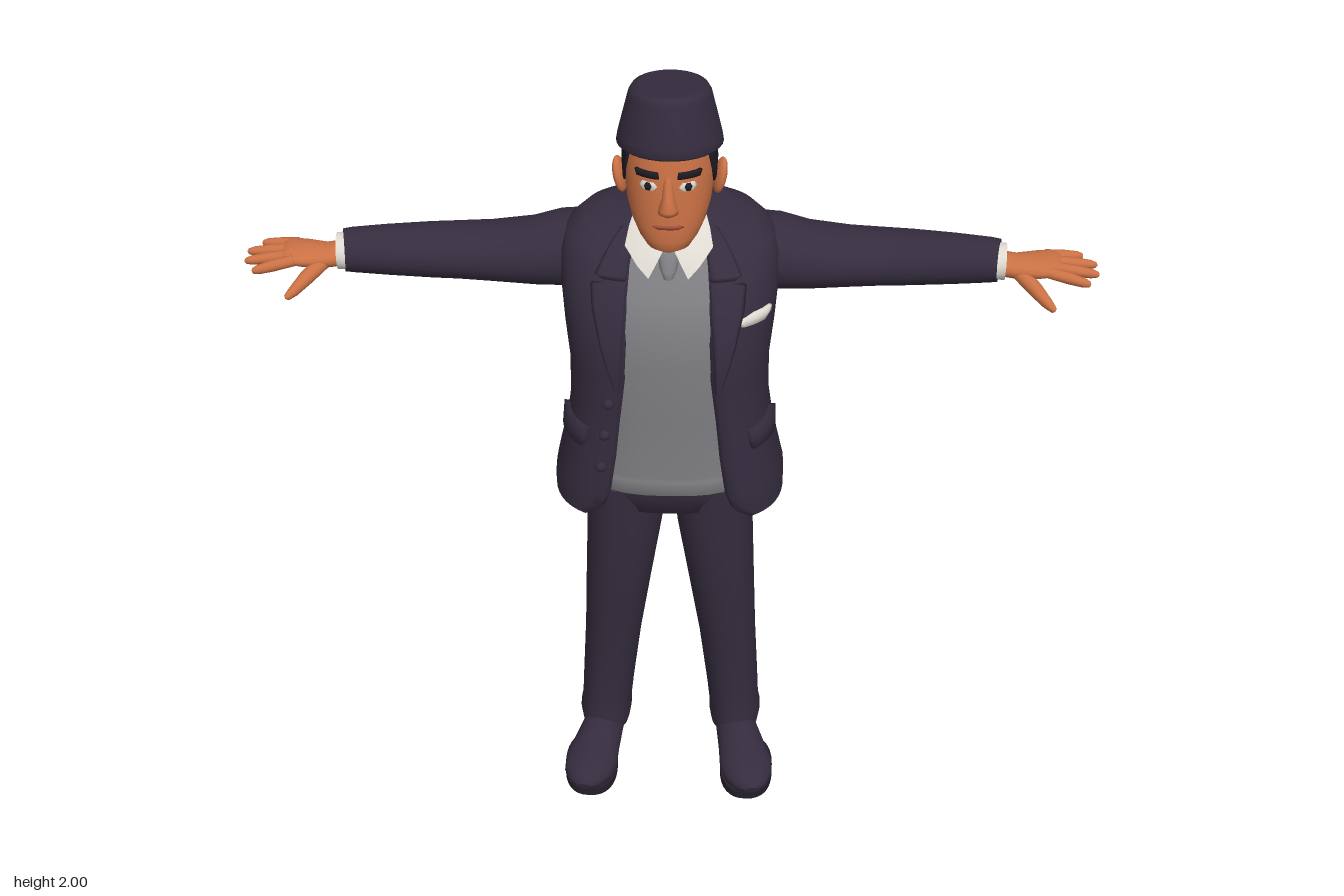
import * as THREE from 'three';

const material = (name, color, side = THREE.FrontSide) => {
  const m = new THREE.MeshStandardMaterial({ color, side });
  m.name = name;
  return m;
};

// Level cross-sections: [y, half width, front z, back z, squareness, tilt dy/dz, extra]
const section = (list, power = 2.2) =>
  list.map(([y, w, zf, zb, p = power, k = 0, e = 0]) => [y, w, zf, zb, p, k, e]);

function rowAt(rows, y) {
  let i = 0;
  while (i < rows.length - 2 && y > rows[i + 1][0]) i++;
  const f = THREE.MathUtils.clamp((y - rows[i][0]) / (rows[i + 1][0] - rows[i][0]), 0, 1);
  return rows[i].map((v, j) => v + (rows[i + 1][j] - v) * f);
}

// Point on a superellipse cross-section; t = 0 is the front, growing towards +x
function ringPoint([y, w, zf, zb, p, k], t, off = 0, xc = 0) {
  const pow = (v) => Math.sign(v) * Math.abs(v) ** (2 / p);
  const d = (zf - zb) / 2, sx = pow(Math.sin(t)), cz = pow(Math.cos(t));
  const n = Math.hypot(sx, cz) || 1;
  return new THREE.Vector3(xc + w * sx + off * sx / n, y + k * d * cz, (zf + zb) / 2 + d * cz + off * cz / n);
}
const angleAt = (r, x) => Math.sign(x) * Math.asin(Math.min(1, (Math.abs(x) / r[1]) ** (r[4] / 2)));
const fullRing = (r, xc = 0, n = 32) =>
  Array.from({ length: n }, (_, i) => ringPoint(r, (i / n) * Math.PI * 2, 0, xc));

// Ring open at the front, with its two edges turned inwards
function openRing(r, t0, n = 44) {
  const at = (i, off) => ringPoint(r, t0 + (i / n) * (Math.PI * 2 - 2 * t0), off);
  return [at(0, -0.025), ...Array.from({ length: n + 1 }, (_, i) => at(i, 0)), at(n, -0.025)];
}

// Skin over a list of rings
function loft(rings, closed = true, caps = closed) {
  const n = rings[0].length, pos = [], idx = [];
  const push = (v) => pos.push(v.x, v.y, v.z) / 3 - 1;
  rings.forEach((r) => r.forEach(push));
  for (let j = 0; j < rings.length - 1; j++) {
    for (let i = 0; i < (closed ? n : n - 1); i++) {
      const a = j * n + i, a2 = j * n + (i + 1) % n;
      idx.push(a, a2, a + n, a2, a2 + n, a + n);
    }
  }
  if (caps) {
    [rings[0], rings[rings.length - 1]].forEach((r, end) => {
      const c = push(r.reduce((s, v) => s.add(v), new THREE.Vector3()).divideScalar(n));
      const ids = r.map(push);
      ids.forEach((a, i) => {
        const b = ids[(i + 1) % n];
        end ? idx.push(c, a, b) : idx.push(c, b, a);
      });
    });
  }
  const g = new THREE.BufferGeometry();
  g.setAttribute('position', new THREE.Float32BufferAttribute(pos, 3));
  g.setIndex(idx);
  g.computeVertexNormals();
  return g;
}
const body = (rows, p) => loft(section(rows, p).map((r) => fullRing(r)));

// Tube along points [x, y, z, vertical radius, sideways radius]
function tube(pts, n = 18) {
  const c = pts.map((p) => new THREE.Vector3(p[0], p[1], p[2]));
  return loft(pts.map((p, i) => {
    const d = c[Math.min(i + 1, c.length - 1)].clone().sub(c[Math.max(i - 1, 0)]).normalize();
    const u = new THREE.Vector3(0, 1, 0).addScaledVector(d, -d.y).normalize();
    const v = d.clone().cross(u);
    return Array.from({ length: n }, (_, j) => {
      const t = (j / n) * Math.PI * 2;
      return c[i].clone().addScaledVector(u, p[3] * Math.cos(t)).addScaledVector(v, p[4] * Math.sin(t));
    });
  }));
}

// Thin raised plate on the front of a body; outline rows are [y, x0, x1], rising
function patch(rows, outline, off) {
  const line = ([y, x0, x1], o) => {
    const r = rowAt(rows, y), a = angleAt(r, x0), b = angleAt(r, x1), n = 8;
    const mid = Array.from({ length: n + 1 }, (_, i) => ringPoint(r, a + (b - a) * i / n, o));
    return [ringPoint(r, a, -0.003), ...mid, ringPoint(r, b, -0.003)];
  };
  return loft([line(outline[0], -0.003), ...outline.map((o) => line(o, off)),
    line(outline[outline.length - 1], -0.003)], false);
}

function mirrored(geo) {
  const g = geo.clone().scale(-1, 1, 1), a = g.index.array;
  for (let i = 0; i < a.length; i += 3) [a[i], a[i + 1]] = [a[i + 1], a[i]];
  g.computeVertexNormals();
  return g;
}

export function createModel() {
  const root = new THREE.Group();
  root.name = 'suitedMan';
  const suit = material('suit', 0x352c3e, THREE.DoubleSide);
  const sole = material('sole', 0x241f2a);
  const skin = material('skin', 0xcb7145);
  const shirt = material('shirt', 0xdedad2, THREE.DoubleSide);
  const vest = material('vest', 0x7e7e82);
  const hair = material('hair', 0x1f1b23, THREE.DoubleSide);
  const lip = material('lip', 0xa3523a);
  const add = (name, geo, mat) => {
    const m = new THREE.Mesh(geo, mat);
    m.name = name;
    root.add(m);
  };
  const pair = (name, geo, mat) => {
    add(name + 'Left', geo, mat);
    add(name + 'Right', mirrored(geo), mat);
  };

  // Jacket, open at the front; the last number is the half gap
  const coat = section([
    [0.93, 0.28, 0.195, -0.21, 2.8, -0.04, 0.2], [0.96, 0.28, 0.198, -0.21, 2.8, -0.04, 0.165],
    [1.0, 0.272, 0.2, -0.2, 2.8, -0.03, 0.15], [1.1, 0.25, 0.2, -0.19, 2.8, 0, 0.135],
    [1.2, 0.236, 0.195, -0.178, 2.7, 0, 0.125], [1.32, 0.235, 0.2, -0.172, 2.6, 0, 0.11],
    [1.42, 0.245, 0.195, -0.175, 2.6, 0, 0.105], [1.5, 0.252, 0.165, -0.183, 2.6, 0, 0.1],
    [1.57, 0.252, 0.12, -0.187, 2.6, 0, 0.095], [1.61, 0.24, 0.085, -0.185, 2.6, 0, 0.09],
    [1.64, 0.2, 0.05, -0.175, 2.4, -0.1, 0.085], [1.655, 0.14, 0.04, -0.16, 2.2, -0.2, 0.08],
    [1.663, 0.1, 0.035, -0.14, 2, -0.3, 0.07], [1.675, 0.085, 0.02, -0.125, 2, -0.3, 0.06]]);
  add('jacket', loft(coat.map((r) => openRing(r, angleAt(r, r[6]))), false), suit);
  pair('lapel', patch(coat, [[1.3, 0.11, 0.116], [1.36, 0.107, 0.135], [1.42, 0.104, 0.15],
    [1.5, 0.099, 0.168], [1.55, 0.096, 0.172], [1.555, 0.095, 0.145]], 0.009), suit);
  pair('jacketCollar', patch(coat, [[1.562, 0.095, 0.145], [1.57, 0.094, 0.162], [1.61, 0.088, 0.14],
    [1.64, 0.082, 0.12], [1.655, 0.076, 0.105]], 0.009), suit);
  pair('pocketFlap', patch(coat, [[1.125, 0.195, 0.244], [1.15, 0.19, 0.243], [1.175, 0.185, 0.238]], 0.012), suit);
  add('pocketSquare', patch(coat, [[1.463, 0.165, 0.215], [1.475, 0.16, 0.228], [1.487, 0.195, 0.23]], 0.008), shirt);
  for (const y of [1.08, 1.17, 1.26]) {
    const r = rowAt(coat, y), p = ringPoint(r, angleAt(r, -r[6] - 0.018), 0.004);
    add('jacketButton', new THREE.SphereGeometry(0.013, 14, 10).scale(1, 1, 0.7).translate(p.x, p.y, p.z), suit);
  }

  // Vest, shirt collar and knot
  add('vest', body([[0.985, 0.2, 0.16, -0.12], [0.99, 0.21, 0.176, -0.13], [1.03, 0.21, 0.176, -0.13],
    [1.036, 0.2, 0.168, -0.12], [1.2, 0.19, 0.175, -0.12], [1.35, 0.195, 0.18, -0.12], [1.45, 0.2, 0.172, -0.12],
    [1.52, 0.19, 0.145, -0.12], [1.58, 0.15, 0.108, -0.12], [1.62, 0.1, 0.075, -0.1], [1.635, 0.06, 0.05, -0.08]], 2.6), vest);
  add('shirtCollarBand', loft(section([[1.6, 0.09, 0.085, -0.11, 2, -0.3], [1.65, 0.082, 0.065, -0.105, 2, -0.3],
    [1.675, 0.074, 0.045, -0.1, 2, -0.3]]).map((r) => fullRing(r)), true, false), shirt);
  const V = (x, y, z) => new THREE.Vector3(x, y, z);
  pair('shirtCollarWing', loft([
    [V(0.045, 1.57, 0.128), V(0.07, 1.595, 0.115), V(0.1, 1.625, 0.075)],
    [V(0.028, 1.6, 0.115), V(0.058, 1.628, 0.095), V(0.092, 1.655, 0.04)],
    [V(0.01, 1.628, 0.092), V(0.045, 1.655, 0.068), V(0.08, 1.68, 0.0)]], false), shirt);
  add('tieKnot', body([[1.565, 0.012, 0.126, 0.09], [1.585, 0.02, 0.126, 0.08], [1.615, 0.026, 0.106, 0.06],
    [1.625, 0.02, 0.096, 0.06]]), vest);

  // Sleeves, cuffs and hands
  pair('sleeve', tube([[0.17, 1.53, -0.085, 0.09, 0.1], [0.25, 1.525, -0.085, 0.088, 0.1],
    [0.32, 1.515, -0.085, 0.078, 0.092], [0.42, 1.512, -0.085, 0.068, 0.085], [0.5, 1.512, -0.085, 0.064, 0.08],
    [0.56, 1.517, -0.075, 0.063, 0.075], [0.66, 1.53, -0.05, 0.058, 0.065], [0.74, 1.54, -0.03, 0.052, 0.056],
    [0.76, 1.541, -0.026, 0.049, 0.053]], 28), suit);
  pair('cuff', tube([[0.75, 1.54, -0.026, 0.043, 0.047], [0.775, 1.54, -0.024, 0.042, 0.046]]), shirt);
  pair('palm', tube([[0.76, 1.535, -0.025, 0.028, 0.035], [0.8, 1.53, -0.022, 0.026, 0.04],
    [0.85, 1.535, -0.02, 0.023, 0.052], [0.885, 1.54, -0.018, 0.018, 0.054], [0.9, 1.54, -0.016, 0.01, 0.046]]), skin);
  for (const [z0, x1, y1, z1] of [[0.022, 0.965, 1.522, 0.045], [-0.004, 0.988, 1.528, 0.01],
    [-0.03, 0.988, 1.53, -0.03], [-0.054, 0.96, 1.53, -0.07]]) {
    const at = (f, r) => [0.87 + (x1 - 0.87) * f, 1.54 + (y1 - 1.54) * f, z0 + (z1 - z0) * f, r, r];
    pair('finger', tube([at(0, 0.014), at(0.5, 0.0135), at(0.85, 0.011), at(0.97, 0.007), at(1, 0.002)], 12), skin);
  }
  pair('thumb', tube([[0.805, 1.525, -0.005, 0.018, 0.02], [0.84, 1.507, 0.045, 0.017, 0.018],
    [0.865, 1.492, 0.08, 0.013, 0.013], [0.878, 1.486, 0.098, 0.008, 0.008], [0.88, 1.485, 0.102, 0.002, 0.002]], 12), skin);

  // Trousers
  add('hips', body([[0.85, 0.07, 0.06, -0.09], [0.885, 0.18, 0.11, -0.122], [0.94, 0.205, 0.125, -0.135],
    [1.02, 0.21, 0.14, -0.14]], 2.5), suit);
  const leg = [[0.07, 0.175, 0.064, 0.03, -0.145], [0.1, 0.175, 0.069, 0.037, -0.165], [0.12, 0.173, 0.066, 0.032, -0.158],
    [0.2, 0.167, 0.068, 0.032, -0.157], [0.4, 0.15, 0.074, 0.05, -0.15], [0.6, 0.132, 0.084, 0.085, -0.132],
    [0.8, 0.113, 0.095, 0.105, -0.125], [0.95, 0.105, 0.1, 0.115, -0.13]];
  pair('trouserLeg', loft(leg.map(([y, xc, w, zf, zb]) => fullRing([y, w, zf, zb, 2.3, 0], xc))), suit);

  // Shoes, flattened onto their soles
  const shoe = tube([[0.165, 0.06, -0.152, 0.02, 0.025], [0.165, 0.065, -0.142, 0.045, 0.042],
    [0.17, 0.07, -0.08, 0.06, 0.052], [0.18, 0.068, 0, 0.058, 0.054], [0.195, 0.052, 0.06, 0.05, 0.062],
    [0.207, 0.045, 0.12, 0.042, 0.07], [0.215, 0.042, 0.165, 0.036, 0.062], [0.22, 0.038, 0.195, 0.025, 0.04],
    [0.222, 0.034, 0.207, 0.012, 0.018]], 24);
  const sp = shoe.attributes.position;
  for (let i = 0; i < sp.count; i++) sp.setY(i, Math.max(0.018, sp.getY(i)));
  shoe.computeVertexNormals();
  pair('shoe', shoe, suit);
  const slab = (w, zf, zb, xc) => loft([0, 0.022].map((y) => fullRing([y, w, zf, zb, 2.4, 0], xc)));
  pair('shoeSole', slab(0.07, 0.205, -0.015, 0.208), sole);
  pair('shoeHeel', slab(0.048, -0.05, -0.152, 0.168), sole);

  // Head
  const head = section([[1.637, 0.03, 0.122, 0.05], [1.646, 0.05, 0.132, 0.03], [1.67, 0.068, 0.137, 0],
    [1.7, 0.083, 0.136, -0.03], [1.74, 0.095, 0.136, -0.07], [1.78, 0.1, 0.133, -0.09],
    [1.82, 0.102, 0.131, -0.105], [1.88, 0.1, 0.12, -0.11]]);
  add('head', loft(head.map((r) => fullRing(r))), skin);
  add('neck', body([[1.58, 0.068, 0.045, -0.085], [1.66, 0.064, 0.038, -0.082], [1.74, 0.07, 0.04, -0.075]], 2), skin);
  add('nose', body([[1.738, 0.012, 0.145, 0.11], [1.745, 0.023, 0.154, 0.11], [1.757, 0.021, 0.161, 0.11],
    [1.78, 0.014, 0.15, 0.11], [1.815, 0.011, 0.139, 0.11], [1.83, 0.008, 0.131, 0.11]], 2), skin);
  pair('ear', new THREE.SphereGeometry(1, 18, 14).scale(0.013, 0.044, 0.026).rotateZ(-0.2).rotateY(0.3)
    .translate(0.113, 1.768, 0), skin);
  pair('eyeWhite', patch(head, [[1.797, 0.032, 0.055], [1.807, 0.024, 0.062], [1.816, 0.032, 0.057]], 0.003), shirt);
  pair('iris', patch(head, [[1.798, 0.039, 0.047], [1.807, 0.035, 0.051], [1.816, 0.039, 0.047]], 0.005), hair);
  pair('eyebrow', patch(head, [[1.828, 0.02, 0.066], [1.841, 0.022, 0.07]], 0.007), hair);
  add('mouth', patch(head, [[1.704, -0.022, 0.022], [1.709, -0.035, 0.035], [1.713, -0.026, 0.026]], 0.003), lip);

  // Hair around the back and sides; the last number is the hairline angle
  add('hair', loft(section([[1.715, 0.086, 0.13, -0.072, 2.2, 0, 2.1], [1.75, 0.1, 0.13, -0.1, 2.2, 0, 1.95],
    [1.775, 0.105, 0.13, -0.11, 2.2, 0, 1.7], [1.782, 0.106, 0.13, -0.112, 2.2, 0, 1.25],
    [1.82, 0.108, 0.13, -0.12, 2.2, 0, 1.1], [1.87, 0.106, 0.125, -0.122, 2.2, 0, 0.95]])
    .map((r) => openRing(r, r[6])), false), hair);

  // Brimless hat, tilted back
  add('hat', body([[1.858, 0.1, 0.11, -0.115, 2, 0.14], [1.85, 0.113, 0.126, -0.13, 2, 0.14],
    [1.856, 0.12, 0.133, -0.137, 2, 0.14], [1.875, 0.117, 0.13, -0.137, 2, 0.14],
    [1.968, 0.093, 0.106, -0.132, 2, 0.14], [1.98, 0.086, 0.098, -0.125, 2, 0.14],
    [1.985, 0.072, 0.082, -0.11, 2, 0.14]]), suit);
  return root;
}
